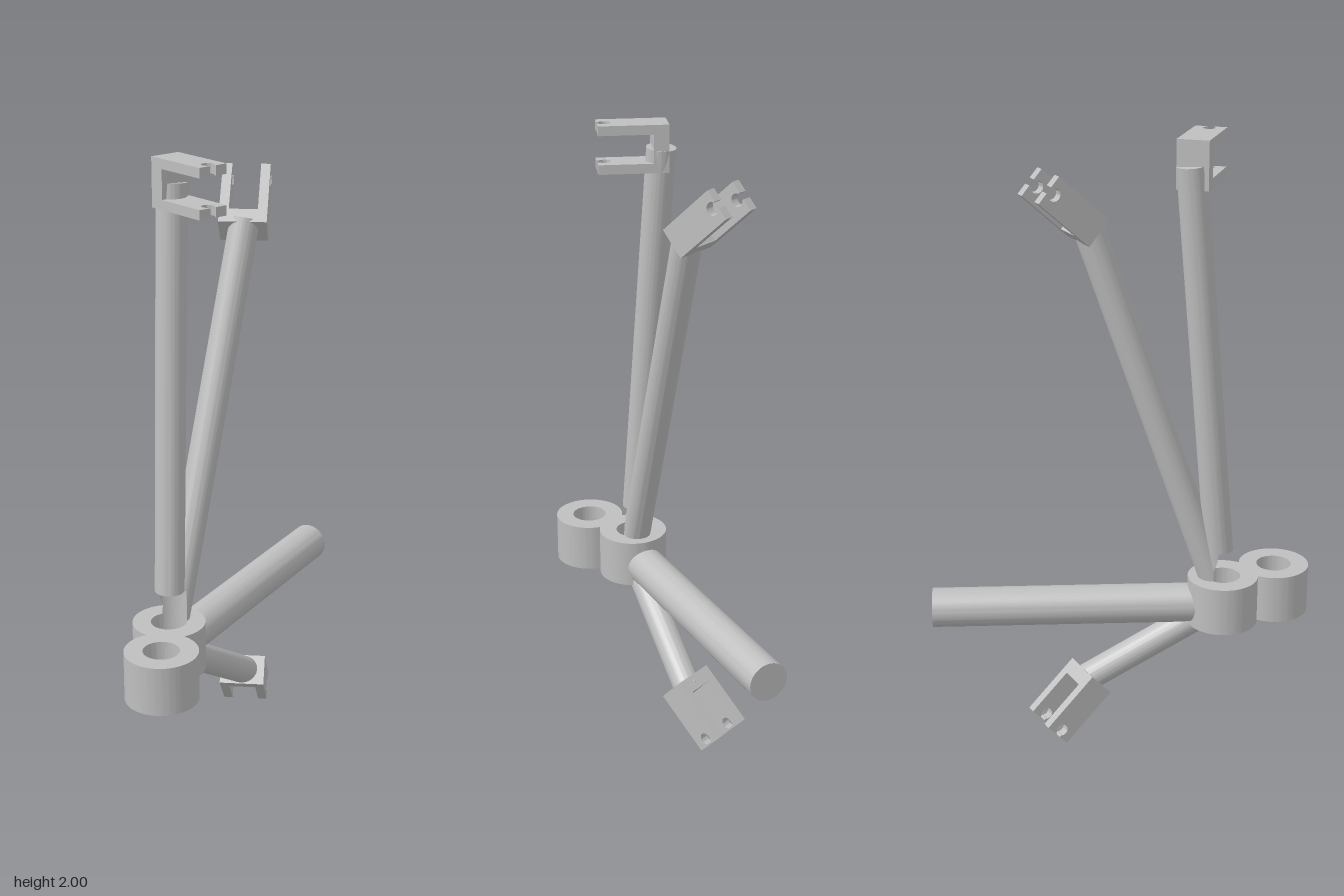
import * as THREE from 'three';
import { toCreasedNormals } from 'three/addons/utils/BufferGeometryUtils.js';

const HUB = new THREE.Vector3(-0.016, 0.46, 0.33); // where all tubes converge
const PIN = new THREE.Vector3(0.084, 0.46, 0.5); // centre of the second ring
const OUTER = 0.115, BORE = 0.057, CLEARANCE = 0.195;

export function createModel() {
  const model = new THREE.Group();
  const steel = new THREE.MeshStandardMaterial({ color: 0xbfbfbf });
  steel.name = 'grey steel';

  function add(parent, name, geometry) {
    const mesh = new THREE.Mesh(geometry, steel);
    mesh.name = name;
    parent.add(mesh);
    return mesh;
  }

  // Two joined rings with open bores
  const [ax, ay, bx, by] = [PIN.x, -PIN.z, HUB.x, -HUB.z];
  const phi = Math.atan2(by - ay, bx - ax);
  const half = Math.acos(Math.hypot(bx - ax, by - ay) / 2 / OUTER);
  const outline = new THREE.Shape();
  outline.absarc(ax, ay, OUTER, phi + half, phi - half + 2 * Math.PI, false);
  outline.absarc(bx, by, OUTER, phi + Math.PI + half, phi - half + 3 * Math.PI, false);
  for (const [x, y] of [[ax, ay], [bx, by]]) {
    outline.holes.push(new THREE.Path().absarc(x, y, BORE, 0, 2 * Math.PI, true));
  }
  const rings = new THREE.ExtrudeGeometry(outline, { depth: 0.16, bevelEnabled: false, curveSegments: 40 });
  rings.rotateX(-Math.PI / 2).translate(0, 0.395, 0);
  add(model, 'doubleRingHub', toCreasedNormals(rings, 0.5));

  // Tube from the hub to a point, its near end trimmed by the clear bore
  function tube(name, end, radius) {
    const span = end.clone().sub(HUB);
    const dir = span.clone().normalize();
    const profile = [0, 0.2, 0.4, 0.6, 0.8, 0.93, 1].map((f) => new THREE.Vector2(f * radius, 0));
    profile.push(new THREE.Vector2(radius, span.length()), new THREE.Vector2(0, span.length()));
    const geometry = new THREE.LatheGeometry(profile, 48);
    const pos = geometry.attributes.position;
    const turn = new THREE.Quaternion().setFromUnitVectors(new THREE.Vector3(0, 1, 0), dir);
    const p = new THREE.Vector3();
    for (let i = 0; i < pos.count; i++) {
      p.fromBufferAttribute(pos, i);
      const near = p.y < 1e-6;
      p.applyQuaternion(turn);
      if (near) {
        const a = dir.x ** 2 + dir.z ** 2;
        const b = p.x * dir.x + p.z * dir.z;
        const c = p.x ** 2 + p.z ** 2 - BORE ** 2;
        const side = (-b + Math.sqrt(Math.max(0, b * b - a * c))) / a;
        const cap = dir.y ? (Math.sign(dir.y) * CLEARANCE - p.y) / dir.y : Infinity;
        p.addScaledVector(dir, Math.min(side, cap));
      }
      p.add(HUB);
      pos.setXYZ(i, p.x, p.y, p.z);
    }
    add(model, name, toCreasedNormals(geometry, 0.6));
  }

  // Fork: base plate and two prongs with round snap notches at the tips
  const L = 0.22, W = 0.1, SPREAD = 0.15, THICK = 0.03, BASE = 0.048;
  const plate = new THREE.Shape();
  const notch = 0.02, gap = 0.011, q = Math.asin(gap / notch);
  plate.moveTo(-L / 2, -W / 2);
  plate.lineTo(L / 2, -W / 2);
  plate.lineTo(L / 2, -gap);
  plate.absarc(L / 2 - 0.023, 0, notch, -q, q, true);
  plate.lineTo(L / 2, gap);
  plate.lineTo(L / 2, W / 2);
  plate.lineTo(-L / 2, W / 2);
  plate.closePath();

  function fork(name, center, along, across) {
    const group = new THREE.Group();
    group.name = name;
    const x = along.clone().normalize(), z = across.clone().normalize();
    const y = new THREE.Vector3().crossVectors(z, x);
    group.quaternion.setFromRotationMatrix(new THREE.Matrix4().makeBasis(x, y, z));
    group.position.copy(center);
    for (const z0 of [-SPREAD / 2, SPREAD / 2 - THICK]) {
      const prong = new THREE.ExtrudeGeometry(plate, { depth: THICK, bevelEnabled: false, curveSegments: 20 });
      prong.translate(0, 0, z0);
      add(group, 'forkProng', toCreasedNormals(prong, 0.6));
    }
    const base = add(group, 'forkBase', new THREE.BoxGeometry(BASE, W, SPREAD - 2 * THICK));
    base.position.x = -L / 2 + BASE / 2;
    model.add(group);
  }

  const v = (x, y, z) => new THREE.Vector3(x, y, z);
  tube('rearTube', v(-0.1, 0.46, -0.615), 0.064);
  tube('uprightTube', v(-0.075, 1.92, 0.208), 0.047);
  tube('upperSlantedTube', v(-0.038, 1.755, -0.115), 0.047);
  tube('lowerSlantedTube', v(-0.038, 0.168, -0.13), 0.047);

  fork('uprightFork', v(0.01, 1.924, 0.238), v(0.968, 0, 0.25), v(0, 1, 0));
  fork('upperSlantedFork', v(-0.077, 1.791, -0.173), v(-0.371, 0.669, -0.643), v(0.866, 0, -0.5));
  fork('lowerSlantedFork', v(-0.077, 0.111, -0.173), v(-0.371, -0.669, -0.643), v(0.866, 0, -0.5));

  return model;
}
